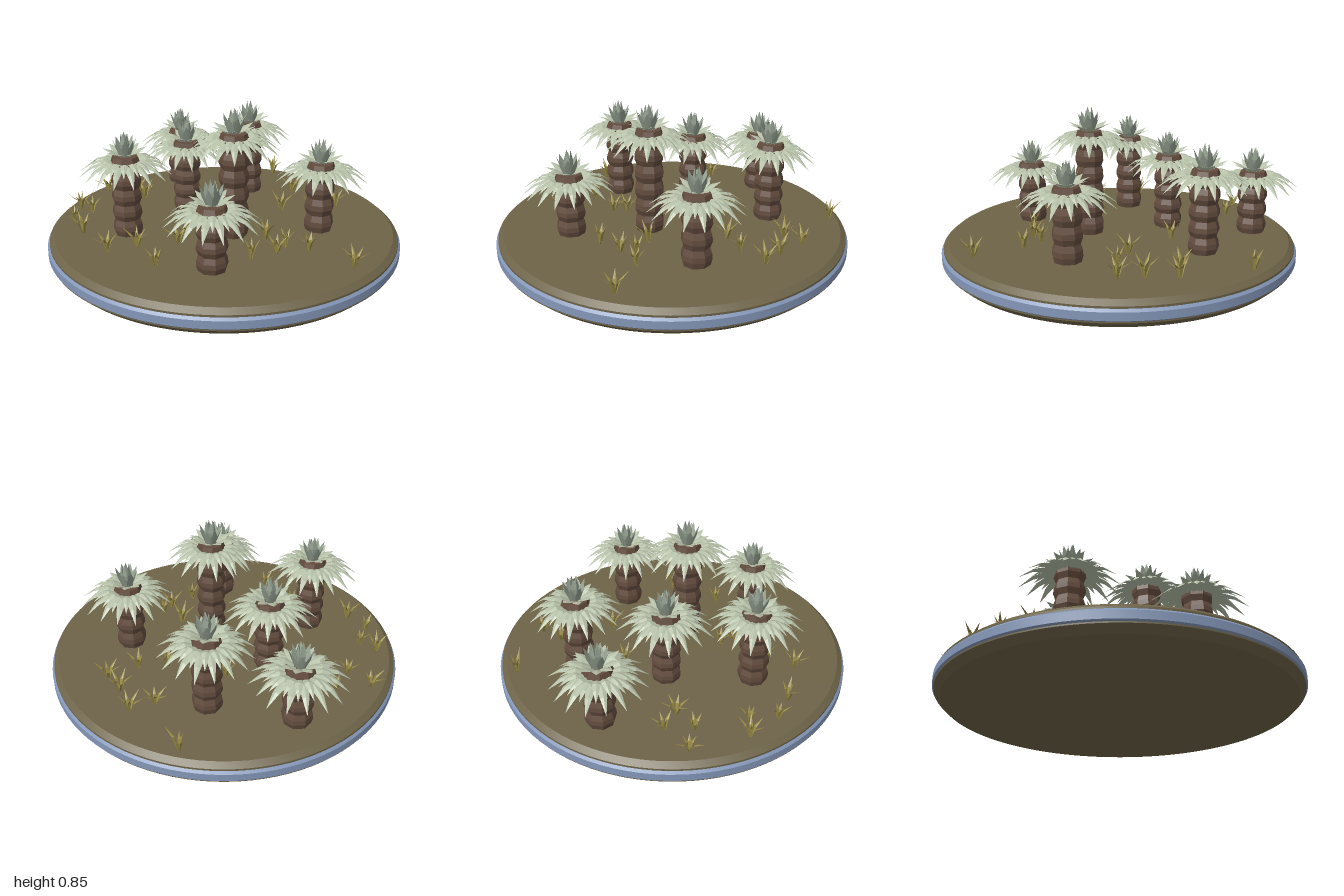
import * as THREE from 'three';
import { mergeGeometries, toCreasedNormals } from 'three/addons/utils/BufferGeometryUtils.js';

const mat = (name, color, extra = {}) => {
  const m = new THREE.MeshStandardMaterial({ color, ...extra });
  m.name = name;
  return m;
};

let seed = 7;
const rand = () => (seed = (seed * 16807) % 2147483647) / 2147483647;
const vary = (amount) => 1 + (rand() - 0.5) * amount;

function mesh(name, geometry, material) {
  const m = new THREE.Mesh(geometry, material);
  m.name = name;
  return m;
}

const lathe = (points, sides) =>
  new THREE.LatheGeometry(points.map(([r, y]) => new THREE.Vector2(r, y)), sides);

function flat(geometry) {
  const g = geometry.index ? geometry.toNonIndexed() : geometry;
  g.computeVertexNormals();
  return g;
}

// One folded blade along +x; each section is [reach, height, half width, ridge lift]
function blade(sections, scale = 1) {
  const pos = [], idx = [];
  sections.forEach(([r, y, w, lift]) => {
    pos.push(r * scale, y, w, r * scale, y + lift, 0, r * scale, y, -w);
  });
  for (let i = 0; i < sections.length - 1; i++) {
    for (let j = 0; j < 2; j++) {
      const a = i * 3 + j, b = a + 3;
      idx.push(a, b, a + 1, a + 1, b, b + 1);
    }
  }
  const g = new THREE.BufferGeometry();
  g.setAttribute('position', new THREE.Float32BufferAttribute(pos, 3));
  g.setIndex(idx);
  return flat(g);
}

// Blades spread evenly around the y axis
function bladeRing(count, sections, turn = 0, spread = 0.1) {
  const blades = [];
  for (let i = 0; i < count; i++) {
    blades.push(blade(sections, vary(spread)).rotateY(turn + (i / count) * Math.PI * 2));
  }
  return mergeGeometries(blades);
}

// Octagonal trunk with a bulge for every growth ring
function trunkGeometry(height) {
  const rings = Math.round(height / 0.09);
  const step = height / rings;
  const points = [[0, 0], [0.074, 0]];
  for (let i = 0; i < rings; i++) {
    points.push([0.083, (i + 0.35) * step], [0.081, (i + 0.65) * step]);
    points.push([0.07, (i + 1) * step]);
  }
  points.push([0, height]);
  return flat(lathe(points, 8));
}

export function createModel() {
  const soil = mat('soil', 0x6d6348);
  const rim = mat('blueRim', 0x8497b8);
  const bark = mat('bark', 0x634c3e);
  const leaf = mat('paleLeaf', 0xb6c0a8, { side: THREE.DoubleSide });
  const heart = mat('heartLeaf', 0x97a393, { side: THREE.DoubleSide });
  const grass = mat('dryGrass', 0x9a8c45, { side: THREE.DoubleSide });

  const model = new THREE.Group();
  model.name = 'plantIsland';
  const ground = 0.14;

  // Round base in three bands
  const base = new THREE.Group();
  base.name = 'base';
  base.position.z = 0.012;
  const band = (name, points, material) =>
    base.add(mesh(name, toCreasedNormals(lathe(points, 96), 0.3), material));
  band('lowerSoil', [[0, 0], [0.94, 0], [0.977, 0.035], [0.977, 0.045]], soil);
  band('rimBand', [[0.974, 0.04], [0.986, 0.05], [0.986, 0.092], [0.974, 0.105]], rim);
  band('upperSoil', [[0.974, 0.1], [0.974, 0.116], [0.945, ground], [0, ground]], soil);
  model.add(base);

  // Plants: x, z, height of trunk top
  const plants = [
    [-0.04, -0.74, 0.49], [0.32, -0.44, 0.585], [-0.135, -0.268, 0.56],
    [-0.543, -0.035, 0.585], [0, 0.176, 0.72], [0.474, 0.258, 0.53], [-0.24, 0.535, 0.485],
  ];
  plants.forEach(([x, z, top], i) => {
    const plant = new THREE.Group();
    plant.name = 'plant' + (i + 1);
    plant.position.set(x, ground, z);
    const h = top - ground, turn = i * 0.9;
    plant.add(mesh('trunk', trunkGeometry(h).rotateY(turn), bark));

    // Drooping skirt of long and short leaves
    const skirt = mergeGeometries([
      bladeRing(16, [[0.06, -0.045, 0.018, 0.004], [0.12, -0.03, 0.026, 0.008],
        [0.185, -0.05, 0.017, 0.007], [0.252, -0.1, 0.0005, 0]], turn, 0.08),
      bladeRing(16, [[0.06, -0.035, 0.018, 0.004], [0.11, -0.018, 0.021, 0.007],
        [0.15, -0.03, 0.014, 0.006], [0.195, -0.06, 0.0005, 0]], turn + 0.196),
    ]);
    const skirtMesh = mesh('leafSkirt', skirt, leaf);
    skirtMesh.position.y = h;
    plant.add(skirtMesh);

    // Flared collar with an upright heart
    const crown = new THREE.Group();
    crown.name = 'crown';
    crown.position.y = h;
    crown.add(mesh('leafCollar', bladeRing(9, [[0.03, 0, 0.016, 0.003],
      [0.075, 0.024, 0.024, 0.006], [0.12, 0.042, 0.0005, 0]], turn + 0.1), leaf));
    crown.add(mesh('outerHeart', bladeRing(8, [[0.025, 0, 0.014, -0.002],
      [0.044, 0.05, 0.021, -0.004], [0.064, 0.1, 0.0005, 0]], turn + 0.3), heart));
    crown.add(mesh('innerHeart', bladeRing(5, [[0.012, 0, 0.012, -0.002],
      [0.022, 0.07, 0.017, -0.004], [0.018, 0.13, 0.0005, 0]], turn), heart));
    plant.add(crown);
    model.add(plant);
  });

  // Dry grass tufts: x, z
  const tufts = [
    [-0.53, -0.69], [-0.48, -0.55], [-0.35, -0.63], [-0.34, -0.5], [-0.74, -0.45],
    [-0.69, -0.36], [-0.8, -0.26], [-0.78, -0.1], [0.58, -0.67], [0.56, -0.31],
    [0.7, -0.3], [0.69, -0.13], [0.38, -0.05], [0.53, 0], [0.71, 0], [0.13, -0.28],
    [-0.25, 0.14], [-0.7, 0.17], [-0.5, 0.43], [0.2, 0.43], [0.3, 0.51], [-0.02, 0.5],
    [0.44, 0.75], [-0.32, 0.19], [0.14, 0.3], [0.13, 0.48], [-0.54, 0.17],
  ];
  tufts.forEach(([x, z], i) => {
    const tall = 0.095 * vary(0.3);
    const geometry = bladeRing(6, [[0.004, 0, 0.006, 0.001],
      [0.02, tall * 0.6, 0.009, 0.003], [0.055, tall, 0.0005, 0]], i * 1.3, 1.2);
    const tuft = mesh('grassTuft' + (i + 1), geometry, grass);
    tuft.position.set(x, ground, z);
    model.add(tuft);
  });

  return model;
}
